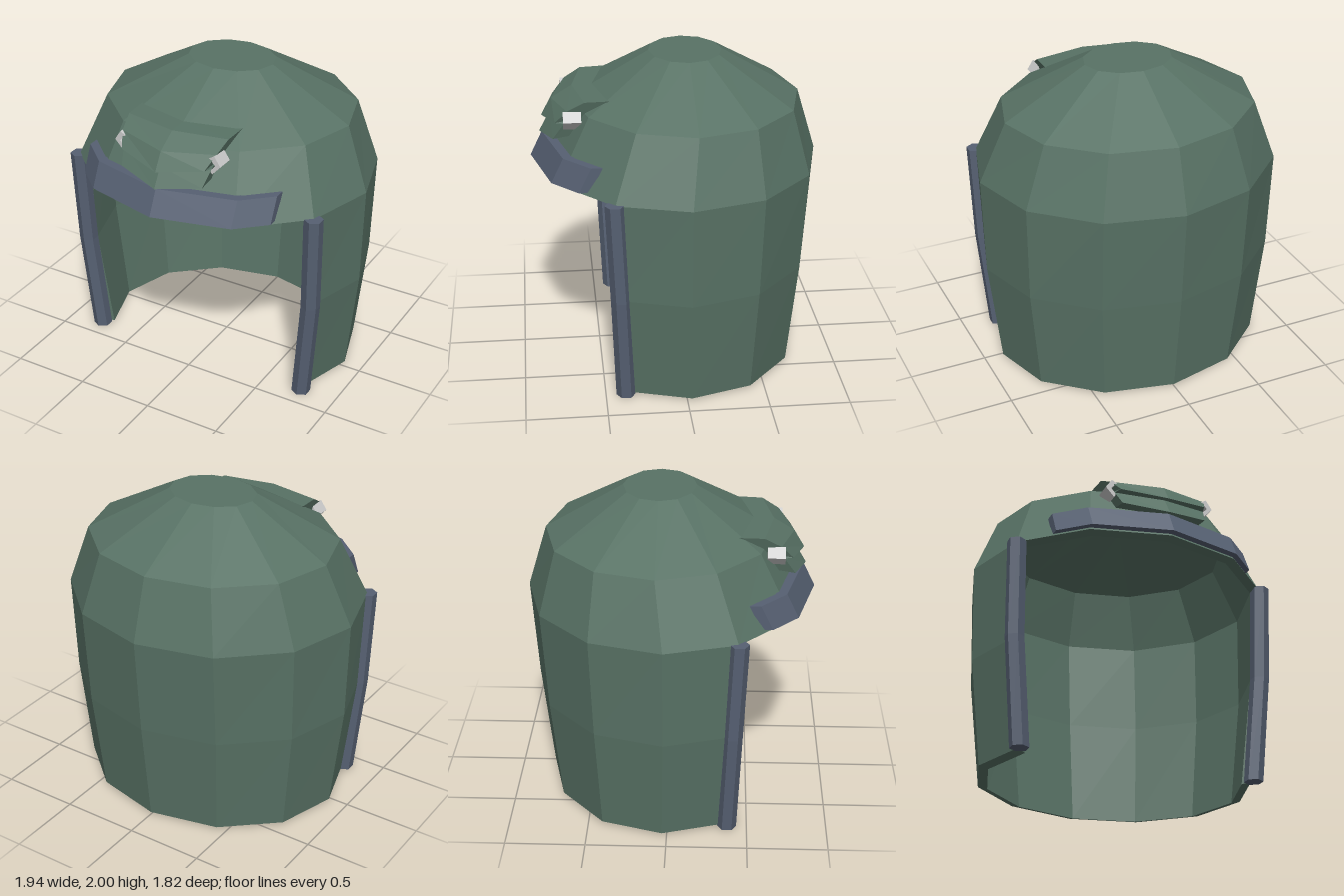
import * as THREE from 'three';

const paint = (color) => new THREE.MeshStandardMaterial({ color, flatShading: true, side: THREE.DoubleSide });
const green = paint(0x587265);
const slate = paint(0x566072);
const grey = paint(0xcccccc);

// Flat-shaded mesh from a list of quads (corners counter-clockwise from outside)
function quadMesh(name, quads, material) {
  const pos = [];
  for (const [a, b, c, d] of quads) pos.push(...a, ...b, ...c, ...a, ...c, ...d);
  const geo = new THREE.BufferGeometry();
  geo.setAttribute('position', new THREE.Float32BufferAttribute(pos, 3));
  geo.computeVertexNormals();
  const mesh = new THREE.Mesh(geo, material);
  mesh.name = name;
  return mesh;
}

// Closed solid through a row of cross-sections, with fan caps at both ends
function loft(name, sections, material) {
  const quads = [];
  const n = sections[0].length;
  for (let s = 0; s < sections.length - 1; s++) {
    for (let i = 0; i < n; i++) {
      const j = (i + 1) % n;
      quads.push([sections[s][i], sections[s][j], sections[s + 1][j], sections[s + 1][i]]);
    }
  }
  const cap = (loop, flip) => {
    const mid = [0, 1, 2].map((k) => loop.reduce((sum, p) => sum + p[k], 0) / n);
    loop.forEach((p, i) => {
      const q = loop[(i + 1) % n];
      quads.push(flip ? [mid, q, p, mid] : [mid, p, q, mid]);
    });
  };
  cap(sections[0], true);
  cap(sections[sections.length - 1], false);
  return quadMesh(name, quads, material);
}

// Twelve-sided elliptical ring; vertex 0 on +x, vertex 3 at the front
const SIDES = 12;
const ring = ([y, rx, rz, cz]) => Array.from({ length: SIDES + 1 }, (_, k) => {
  const a = (k % SIDES) * Math.PI * 2 / SIDES;
  return [rx * Math.cos(a), y, cz + rz * Math.sin(a)];
});

// Thick shell with a face opening between vertices 1 and 5 below the brow
function makeShell() {
  const outer = [
    [0.015, 0.88, 0.76, -0.03], [0.69, 0.955, 0.845, -0.02], [1.32, 0.97, 0.89, -0.02],
    [1.715, 0.81, 0.72, -0.07], [2, 0.285, 0.23, -0.07], [2, 0, 0, -0.07],
  ].map(ring);
  const inner = [
    [0, 0.82, 0.70, -0.03], [0.69, 0.895, 0.785, -0.02], [1.305, 0.91, 0.83, -0.02],
    [1.68, 0.76, 0.67, -0.07], [1.94, 0.265, 0.21, -0.07], [1.94, 0, 0, -0.07],
  ].map(ring);
  const brow = 2;
  const quads = [];
  for (let k = 0; k < SIDES; k++) {
    const open = k >= 1 && k < 5;
    const first = open ? brow : 0;
    for (let r = first; r < outer.length - 1; r++) {
      quads.push([outer[r][k + 1], outer[r][k], outer[r + 1][k], outer[r + 1][k + 1]]);
      quads.push([inner[r][k], inner[r][k + 1], inner[r + 1][k + 1], inner[r + 1][k]]);
    }
    // Lower rim
    quads.push([outer[first][k], outer[first][k + 1], inner[first][k + 1], inner[first][k]]);
  }
  // Upright edges of the opening
  for (let r = 0; r < brow; r++) {
    quads.push([inner[r][1], outer[r][1], outer[r + 1][1], inner[r + 1][1]]);
    quads.push([outer[r][5], inner[r][5], inner[r + 1][5], outer[r + 1][5]]);
  }
  return quadMesh('helmetShell', quads, green);
}

// Six-sided strip down one edge of the opening
function makeEdgeStrip(side) {
  const path = [[0.765, 0.005, 0.375], [0.825, 0.69, 0.402], [0.84, 1.325, 0.43]];
  const sections = path.map(([x, y, z]) => Array.from({ length: 6 }, (_, i) => {
    const a = i * Math.PI / 3;
    return [side * x + 0.06 * Math.sin(a), y, z + 0.06 * Math.cos(a)];
  }));
  return loft(side > 0 ? 'leftEdgeStrip' : 'rightEdgeStrip', sections, slate);
}

// Sloping band following the facets of the brow
function makeBrowBand() {
  const stations = [[-0.66, 0.63], [-0.485, 0.79], [0, 0.91], [0.485, 0.79], [0.66, 0.63]];
  const sections = stations.map(([x, z]) => [
    [x, 1.49, z - 0.075], [x, 1.335, z], [x, 1.335, z - 0.07], [x, 1.49, z - 0.145],
  ]);
  return loft('browBand', sections, slate);
}

// Two-tier pointed crest on the forehead: middle profile and side profile
function makeCrest() {
  const middle = [
    [0, 1.795, 0.50], [0, 1.79, 0.64], [0, 1.71, 0.77], [0, 1.60, 0.835],
    [0, 1.615, 0.78], [0, 1.495, 0.85], [0, 1.53, 0.70],
  ];
  const left = [
    [0.35, 1.795, 0.42], [0.345, 1.79, 0.575], [0.325, 1.73, 0.68], [0.285, 1.645, 0.755],
    [0.305, 1.645, 0.70], [0.28, 1.54, 0.77], [0.285, 1.57, 0.60],
  ];
  const right = left.map(([x, y, z]) => [-x, y, z]);
  return loft('foreheadCrest', [right, middle, left], green);
}

// Small chevron clip at each end of the crest
function makeClip(side) {
  const outline = [[0.325, 1.73], [0.365, 1.67], [0.31, 1.61], [0.295, 1.63], [0.33, 1.67], [0.29, 1.71]];
  const shape = new THREE.Shape(outline.map(([x, y]) => new THREE.Vector2(side * x, y)));
  const geo = new THREE.ExtrudeGeometry(shape, { depth: 0.11, bevelEnabled: false });
  const clip = new THREE.Mesh(geo, grey);
  clip.position.z = 0.595;
  clip.name = side > 0 ? 'leftClip' : 'rightClip';
  return clip;
}

export function createModel() {
  const model = new THREE.Group();
  model.name = 'helmet';
  model.add(makeShell(), makeBrowBand(), makeCrest());
  for (const side of [1, -1]) model.add(makeEdgeStrip(side), makeClip(side));
  return model;
}
